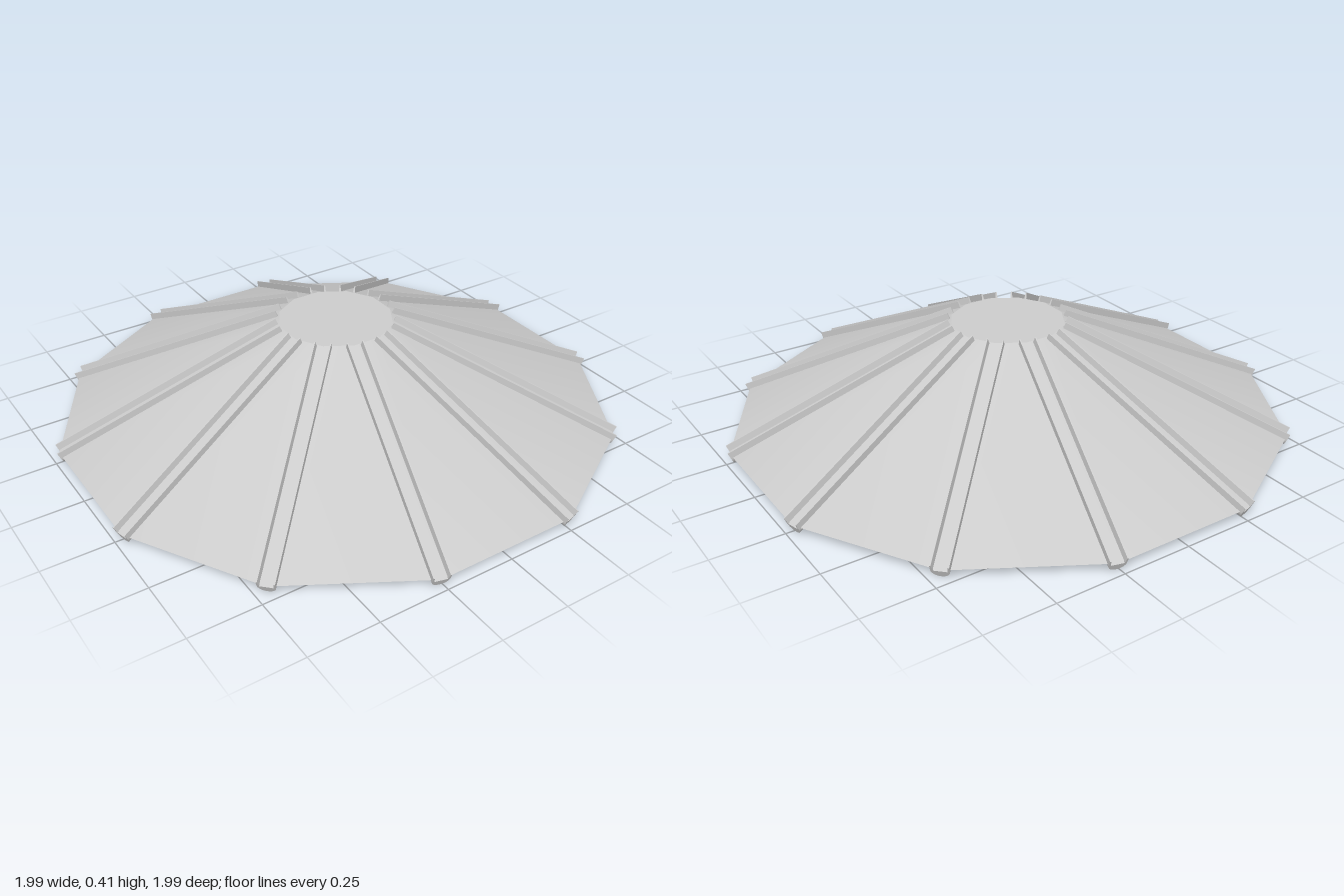
import * as THREE from 'three';

const SIDES = 12;
const TOP = { r: 0.207, y: 0.395 };
const EAVE = { r: 1.015, y: 0.03 };

// Rib cross-section: rounded underside, two thin lips standing above the roof
function ribSection() {
  const w = 0.03, lip = 0.02, floor = -0.005;
  const s = new THREE.Shape();
  s.moveTo(-w, lip);
  s.lineTo(-w, -0.003);
  s.absarc(0, -0.003, w, Math.PI, Math.PI * 2, false);
  s.lineTo(w, lip);
  s.lineTo(w - 0.004, lip);
  s.lineTo(w - 0.008, floor);
  s.lineTo(-w + 0.008, floor);
  s.lineTo(-w + 0.004, lip);
  s.closePath();
  return s;
}

export function createModel() {
  const model = new THREE.Group();
  model.name = 'roof';
  const material = new THREE.MeshStandardMaterial({ color: 0xcccccc });
  const thin = new THREE.MeshStandardMaterial({ color: 0xcccccc, side: THREE.DoubleSide });
  const start = Math.PI / SIDES;

  // Sloping panels, open underneath
  const height = TOP.y - EAVE.y;
  const panels = new THREE.Mesh(
    new THREE.CylinderGeometry(TOP.r, EAVE.r, height, SIDES, 1, true, start), thin);
  panels.name = 'roofPanels';
  panels.position.y = EAVE.y + height / 2;
  model.add(panels);

  // Flat top
  const cap = new THREE.Mesh(new THREE.CircleGeometry(TOP.r, SIDES, start), thin);
  cap.name = 'topCap';
  cap.rotation.x = -Math.PI / 2;
  cap.position.y = TOP.y;
  model.add(cap);

  // One rib along every corner, from the cap down to the eave
  const run = EAVE.r - TOP.r;
  const ribGeometry = new THREE.ExtrudeGeometry(ribSection(), {
    depth: Math.hypot(run, height), bevelEnabled: false, curveSegments: 12,
  });
  const ribs = new THREE.Group();
  ribs.name = 'ribs';
  for (let i = 0; i < SIDES; i++) {
    const a = start + (i / SIDES) * Math.PI * 2;
    const rib = new THREE.Mesh(ribGeometry, material);
    rib.name = 'rib';
    rib.rotation.set(Math.atan2(height, run), a, 0, 'YXZ');
    rib.position.set(Math.sin(a) * TOP.r, TOP.y, Math.cos(a) * TOP.r);
    ribs.add(rib);
  }
  model.add(ribs);
  return model;
}
